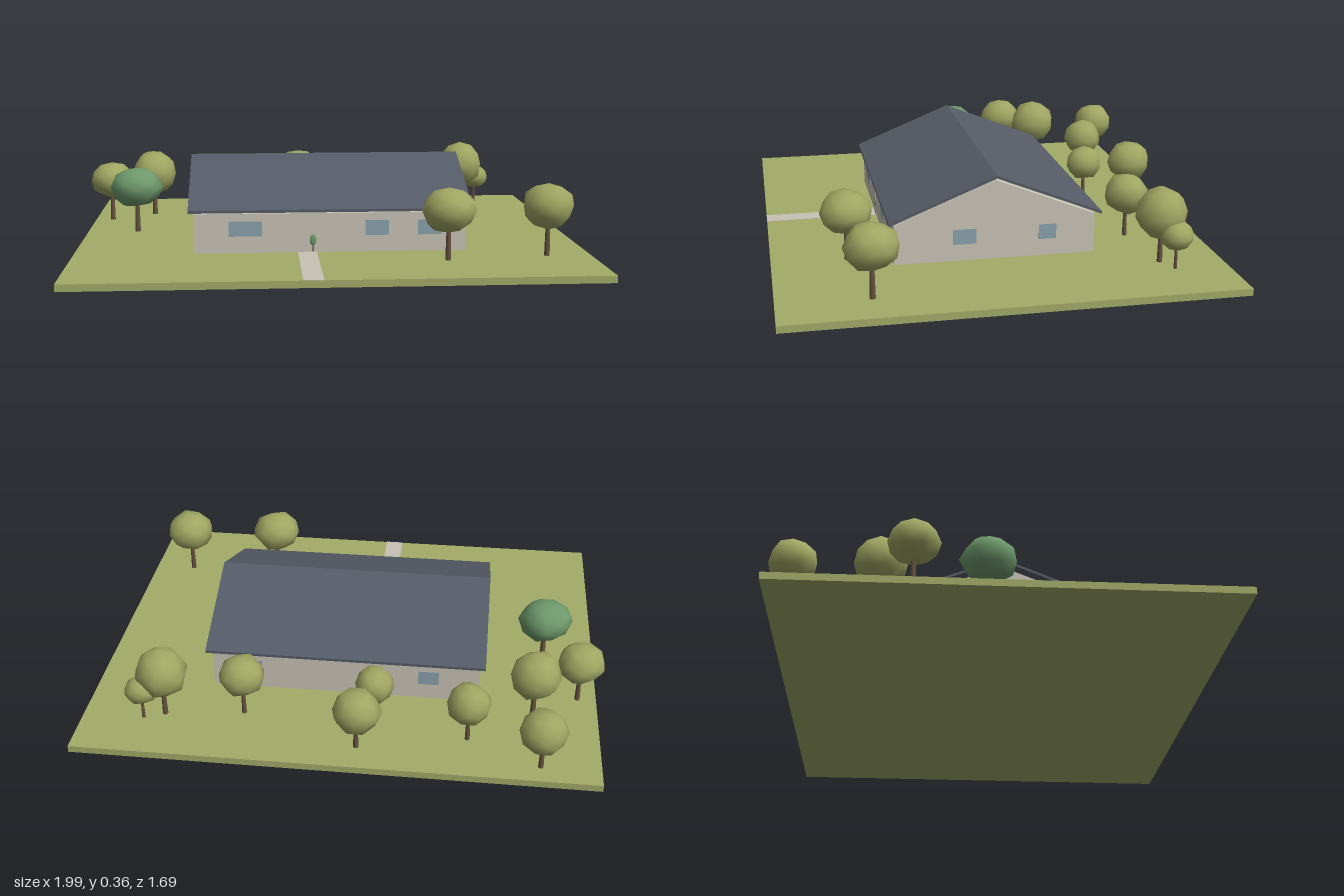
import * as THREE from 'three';
import { mergeVertices } from 'three/addons/utils/BufferGeometryUtils.js';

const material = (name, color, side = THREE.FrontSide) => {
  const m = new THREE.MeshStandardMaterial({ color, side });
  m.name = name;
  return m;
};

const GROUND = 0.027;

export function createModel() {
  const grass = material('grass', 0xa2ab68);
  const wall = material('wall', 0xc9c4b6);
  const roofing = material('roofing', 0x565c67);
  const glass = material('glass', 0x8aa1ac);
  const paving = material('paving', 0xc8c1b5);
  const bark = material('bark', 0x66523f);
  const leaf = material('leaf', 0xa0a662);
  const darkLeaf = material('dark leaf', 0x6f9a6c);

  const model = new THREE.Group();
  model.name = 'house and garden';

  const add = (parent, name, geometry, mat, x = 0, y = 0, z = 0) => {
    const mesh = new THREE.Mesh(geometry, mat);
    mesh.name = name;
    mesh.position.set(x, y, z);
    parent.add(mesh);
    return mesh;
  };
  // Box given by its limits on each axis
  const slab = (parent, name, mat, [x0, x1], [y0, y1], [z0, z1]) =>
    add(parent, name, new THREE.BoxGeometry(x1 - x0, y1 - y0, z1 - z0), mat,
      (x0 + x1) / 2, (y0 + y1) / 2, (z0 + z1) / 2);
  // Gable profile (z, y) extruded along x
  const alongX = (parent, name, mat, points, x0, x1) => {
    const shape = new THREE.Shape(points.map(([a, b]) => new THREE.Vector2(a, b)));
    const geometry = new THREE.ExtrudeGeometry(shape, { depth: x1 - x0, bevelEnabled: false });
    geometry.rotateY(Math.PI / 2);
    return add(parent, name, geometry, mat, x0);
  };

  // Lawn and path
  slab(model, 'lawn', grass, [-0.98, 1.0], [0, GROUND], [-0.84, 0.84]);
  slab(model, 'path', paving, [-0.12, -0.045], [GROUND - 0.004, GROUND + 0.002], [0.385, 0.84]);

  // House body and thin pitched roof
  const house = new THREE.Group();
  house.name = 'house';
  model.add(house);
  const W = 0.387;
  alongX(house, 'walls', wall,
    [[-W, GROUND], [W, GROUND], [W, 0.181], [0, 0.337], [-W, 0.181]], -0.52, 0.535);
  alongX(house, 'roof', roofing,
    [[-0.407, 0.187], [0, 0.351], [0.407, 0.187], [0.407, 0.198], [0, 0.362], [-0.407, 0.198]],
    -0.54, 0.56);

  // Windows and door as thin plates
  const E = 0.002;
  const sill = [0.092, 0.151];
  for (const span of [[-0.385, -0.257], [0.144, 0.235], [0.348, 0.44]]) {
    slab(house, 'frontWindow', glass, span, sill, [W - E, W + E]);
  }
  for (const span of [[0.34, 0.44], [-0.36, -0.28]]) {
    slab(house, 'backWindow', glass, span, sill, [-W - E, -W + E]);
  }
  for (const span of [[0.073, 0.163], [-0.236, -0.168]]) {
    slab(house, 'sideWindow', glass, [0.535 - E, 0.535 + E], sill, span);
  }
  slab(house, 'door', wall, [-0.118, -0.048], [GROUND, 0.152], [W - E, W + E]);

  // Small shrub by the door
  const shrub = new THREE.Group();
  shrub.name = 'doorShrub';
  house.add(shrub);
  add(shrub, 'shrubStem', new THREE.CylinderGeometry(0.003, 0.004, 0.04, 6), bark, -0.06, GROUND + 0.02, W);
  add(shrub, 'shrubLeaves', new THREE.IcosahedronGeometry(1, 1), darkLeaf, -0.06, 0.075, W)
    .scale.set(0.014, 0.025, 0.006);

  // Lumpy crown: unit icosphere with each vertex pushed in or out
  const crownGeometry = (seed) => {
    let s = seed * 7919 + 13;
    const random = () => (s = (s * 16807) % 2147483647) / 2147483647;
    let g = new THREE.IcosahedronGeometry(1, 1);
    g.deleteAttribute('normal');
    g.deleteAttribute('uv');
    g = mergeVertices(g, 1e-4);
    const p = g.attributes.position;
    for (let i = 0; i < p.count; i++) {
      const k = 0.92 + random() * 0.13;
      p.setXYZ(i, p.getX(i) * k, p.getY(i) * k, p.getZ(i) * k);
    }
    g.computeVertexNormals();
    return g;
  };

  // Trees: x, z, crown radius, crown bottom, crown top
  const trees = [
    [-0.757, -0.76, 0.09, 0.11, 0.277],
    [-0.484, -0.628, 0.085, 0.115, 0.275],
    [-0.072, -0.72, 0.093, 0.11, 0.28],
    [-0.12, -0.532, 0.078, 0.11, 0.255],
    [0.382, -0.56, 0.087, 0.12, 0.285],
    [0.685, -0.6, 0.1, 0.12, 0.322],
    [0.762, -0.634, 0.064, 0.103, 0.212],
    [-0.73, -0.45, 0.1, 0.12, 0.308],
    [-0.906, -0.33, 0.094, 0.125, 0.283],
    [-0.773, -0.06, 0.106, 0.13, 0.303],
    [0.44, 0.553, 0.103, 0.13, 0.303],
    [0.83, 0.5, 0.1, 0.13, 0.312],
  ];
  trees.forEach(([x, z, r, bottom, top], i) => {
    const tree = new THREE.Group();
    tree.name = 'tree';
    tree.position.set(x, 0, z);
    model.add(tree);
    const mid = (bottom + top) / 2;
    const height = mid - GROUND;
    add(tree, 'trunk', new THREE.CylinderGeometry(r * 0.07, r * 0.11, height, 8), bark, 0, GROUND + height / 2, 0);
    add(tree, 'crown', crownGeometry(i + 1), i === 9 ? darkLeaf : leaf, 0, mid, 0)
      .scale.set(r, (top - bottom) / 2, r);
  });

  return model;
}
